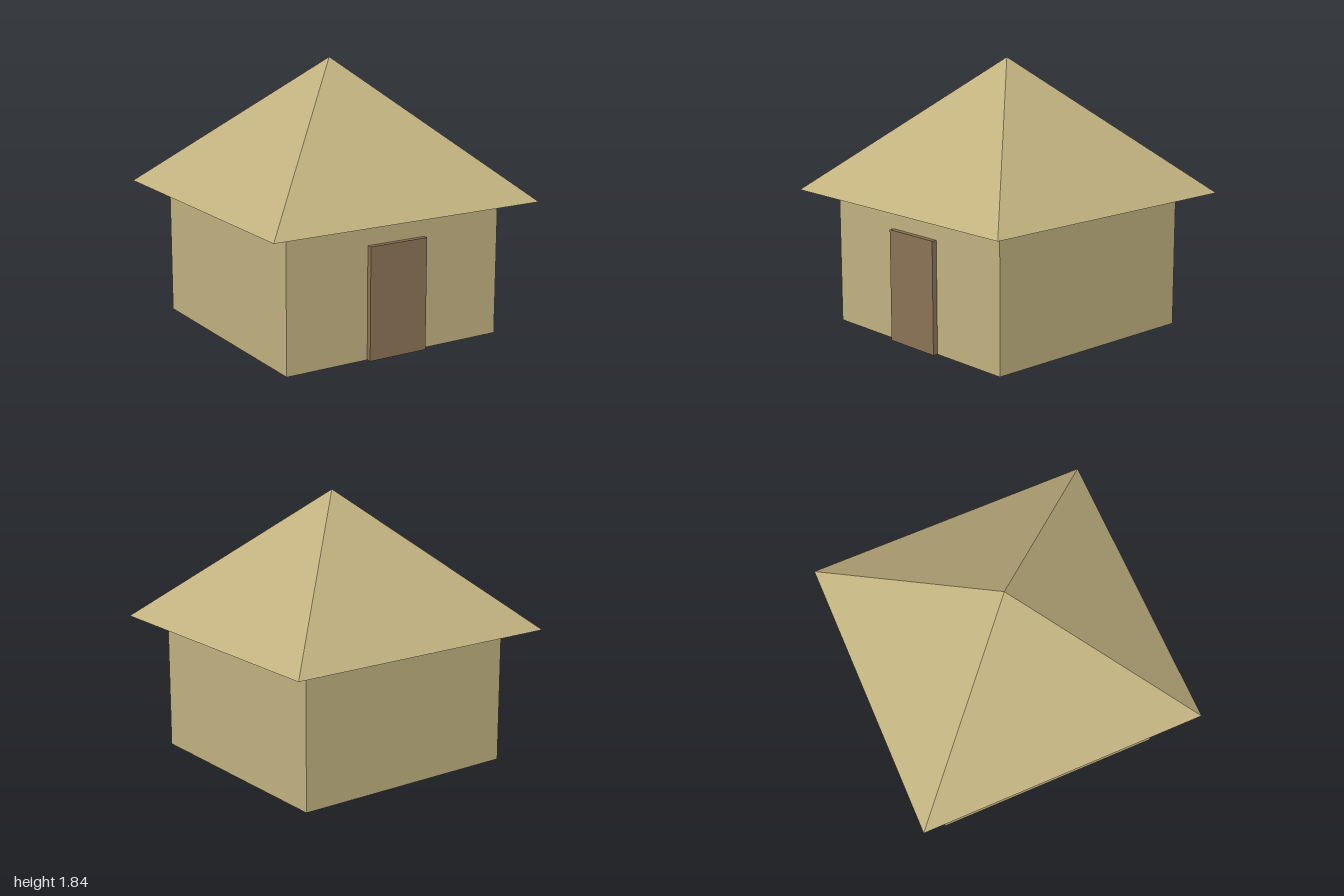
import * as THREE from 'three';

export function createModel() {
  const sand = new THREE.MeshStandardMaterial({ color: 0xc2b280 });
  sand.name = 'sand';
  // The roof is an open shell, so its underside shows too
  const thatch = sand;
  thatch.side = THREE.DoubleSide;
  const wood = new THREE.MeshStandardMaterial({ color: 0x8b7355 });
  wood.name = 'brownWood';

  const hut = new THREE.Group();
  hut.name = 'hut';
  const add = (name, geometry, material, y, z = 0) => {
    const mesh = new THREE.Mesh(geometry, material);
    mesh.name = name;
    mesh.position.set(0, y, z);
    hut.add(mesh);
  };

  // Square walls, reaching a little way up inside the roof
  const wallHeight = 0.97, wallWidth = 1.616;
  add('walls', new THREE.BoxGeometry(wallWidth, wallHeight, wallWidth), sand, wallHeight / 2);

  // Hollow four-sided roof with wide eaves
  const eaves = 0.923, roofHeight = 0.914;
  const roof = new THREE.ConeGeometry(Math.SQRT2, roofHeight, 4, 1, true)
    .rotateY(Math.PI / 4)
    .toNonIndexed();
  roof.computeVertexNormals();
  add('roof', roof, thatch, eaves + roofHeight / 2);

  // Door slab standing proud of the front wall
  const doorHeight = 0.755;
  add('door', new THREE.BoxGeometry(0.431, doorHeight, 0.07), wood, doorHeight / 2, wallWidth / 2);

  return hut;
}
